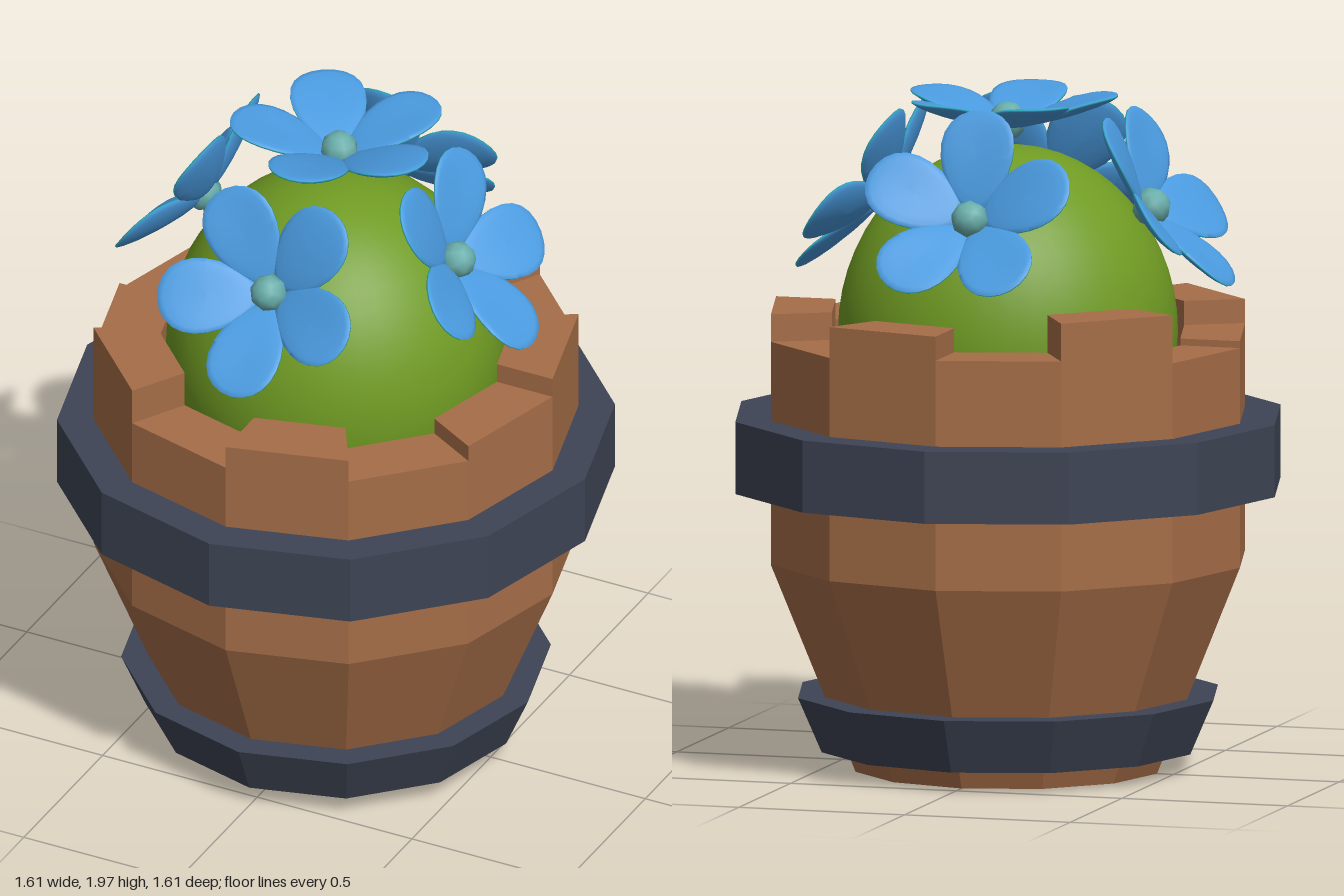
import * as THREE from 'three';

const mat = (name, color) => {
  const m = new THREE.MeshStandardMaterial({ color });
  m.name = name;
  return m;
};

// Facet a geometry so every side stays flat
const faceted = (geo) => {
  const g = geo.index ? geo.toNonIndexed() : geo;
  g.computeVertexNormals();
  return g;
};

const turned = (points) =>
  faceted(new THREE.LatheGeometry(points.map(([r, y]) => new THREE.Vector2(r, y)), 12));

// One petal lying along +z: a flattened, tapered, slightly dished ball with a coloured rim
function petalGeometry() {
  const cols = 24, rows = 9;
  const geo = new THREE.SphereGeometry(1, cols, rows);
  const p = geo.attributes.position;
  for (let i = 0; i < p.count; i++) {
    const t = (p.getZ(i) + 1) / 2;
    const x = p.getX(i) * 0.115 * (0.75 + 0.4 * t);
    const z = 0.03 + 0.29 * t;
    p.setXYZ(i, x, p.getY(i) * 0.018 + 0.29 * z + 1.2 * x * x, z);
  }
  geo.computeVertexNormals();
  // The middle row of faces is the rim
  const perRow = cols * 6, cap = cols * 3;
  const rimStart = cap + 3 * perRow;
  geo.addGroup(0, rimStart, 0);
  geo.addGroup(rimStart, perRow, 1);
  geo.addGroup(rimStart + perRow, rimStart, 0);
  return geo;
}

export function createModel() {
  const model = new THREE.Group();
  const wood = mat('wood', 0xa56d47);
  const iron = mat('dark iron', 0x3e4454);
  const green = mat('cactus green', 0x709b23);
  const blue = mat('petal blue', 0x4a9be0);
  const rim = mat('petal rim cyan', 0x35b5d0);
  const teal = mat('flower centre teal', 0x68adaa);

  const add = (name, geo, material, parent = model) => {
    const mesh = new THREE.Mesh(geo, material);
    mesh.name = name;
    parent.add(mesh);
    return mesh;
  };

  // Barrel body with a recessed underside
  add('barrelBody', turned([[0, 0.1], [0.34, 0.1], [0.34, 0], [0.45, 0], [0.7, 0.61], [0.7, 0.9]]), wood);

  // Uneven stave tops, going round from the left side towards the front
  const base = 0.9;
  const heights = [1.28, 1.23, 1.30, 1.23, 1.34, 1.27, 1.25, 1.39, 1.28, 1.35, 1.26, 1.34];
  const staves = new THREE.Group();
  staves.name = 'staves';
  model.add(staves);
  heights.forEach((top, i) => {
    const at = (r, k) => new THREE.Vector2(r * Math.cos(k * Math.PI / 6), -r * Math.sin(k * Math.PI / 6));
    const outline = new THREE.Shape([at(0.7, i), at(0.7, i + 1), at(0.52, i + 1), at(0.52, i)]);
    const geo = new THREE.ExtrudeGeometry(outline, { depth: top - base, bevelEnabled: false });
    geo.rotateX(-Math.PI / 2);
    add('stave', geo, wood, staves).position.y = base;
  });
  const floor = add('innerFloor', new THREE.CircleGeometry(0.52, 12), wood);
  floor.rotation.x = -Math.PI / 2;
  floor.position.y = 1.1;

  // Hoops
  add('upperHoop', turned([[0.69, 0.82], [0.805, 0.82], [0.805, 1.03], [0.69, 1.03]]), iron);
  add('lowerHoop', turned([[0.45, 0.06], [0.55, 0.06], [0.62, 0.22], [0.5, 0.22]]), iron);

  // Cactus
  const cactus = add('cactus', new THREE.SphereGeometry(1, 40, 28), green);
  cactus.scale.set(0.49, 0.54, 0.49);
  cactus.position.y = 1.27;

  // Flowers: position, turn about y, tilt
  const petal = petalGeometry();
  const centre = new THREE.SphereGeometry(0.056, 8, 6);
  const tilt = THREE.MathUtils.degToRad(55);
  const flowers = [
    ['topFlower', [-0.015, 1.87, -0.05], 0, 0],
    ['frontFlower', [-0.015, 1.64, 0.38], 0, tilt],
    ['backFlower', [-0.015, 1.64, -0.4], 0, -tilt],
    ['leftFlower', [0.37, 1.64, -0.01], Math.PI / 2, tilt],
    ['rightFlower', [-0.42, 1.64, -0.01], -Math.PI / 2, tilt],
  ];
  for (const [name, position, turn, lean] of flowers) {
    const flower = new THREE.Group();
    flower.name = name;
    flower.position.set(...position);
    flower.rotation.set(lean, turn, 0, 'YXZ');
    for (let k = 0; k < 5; k++) {
      add('petal', petal, [blue, rim], flower).rotation.y = k * Math.PI * 0.4;
    }
    add('flowerCentre', centre, teal, flower).position.y = 0.02;
    model.add(flower);
  }
  return model;
}
